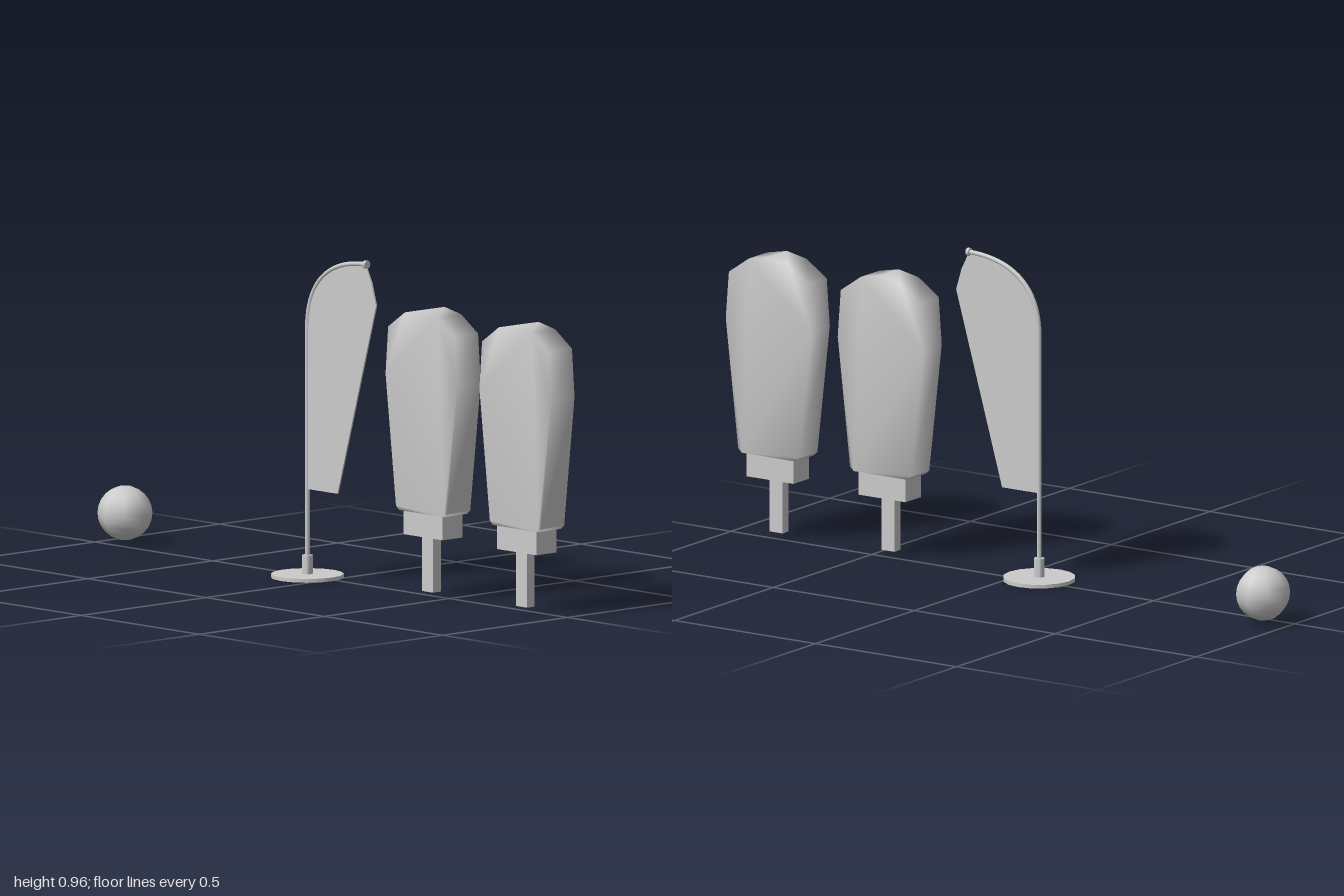
import * as THREE from 'three';
import { mergeVertices, toCreasedNormals } from 'three/addons/utils/BufferGeometryUtils.js';

const grey = new THREE.MeshStandardMaterial({ color: 0xcccccc });
const thin = new THREE.MeshStandardMaterial({ color: 0xcccccc, side: THREE.DoubleSide });

function part(name, geometry, x = 0, y = 0, z = 0, material = grey) {
  const mesh = new THREE.Mesh(geometry, material);
  mesh.name = name;
  mesh.position.set(x, y, z);
  return mesh;
}

// Slab with the given outline, centred on z = 0
function slab(points, depth) {
  const shape = new THREE.Shape(points.map(([x, y]) => new THREE.Vector2(x, y)));
  return new THREE.ExtrudeGeometry(shape, { depth, bevelEnabled: false }).translate(0, 0, -depth / 2);
}

// Shares vertices so that shading flows over the edges
function smooth(geometry) {
  geometry.deleteAttribute('normal');
  geometry.deleteAttribute('uv');
  const merged = mergeVertices(geometry, 1e-4);
  merged.computeVertexNormals();
  return merged;
}

function createPaddle(name, x) {
  const paddle = new THREE.Group();
  paddle.name = name;
  // Right half of the blade outline from bottom to tip, then mirrored
  const half = [[0.095, 0.25], [0.108, 0.262], [0.152, 0.645], [0.141, 0.785], [0.07, 0.834]];
  const mirrored = half.map(([px, py]) => [-px, py]).reverse();
  paddle.add(part('blade', smooth(slab([...half, [0, 0.848], ...mirrored], 0.093)), 0, 0, 0.0135));
  paddle.add(part('collar', new THREE.BoxGeometry(0.166, 0.075, 0.08), 0, 0.2175, 0.014));
  paddle.add(part('handle', new THREE.BoxGeometry(0.046, 0.165, 0.031), 0, 0.1, 0.02));
  paddle.position.x = x;
  return paddle;
}

function createFlag() {
  const flag = new THREE.Group();
  flag.name = 'featherFlag';

  // Weighted foot and socket
  flag.add(part('base', toCreasedNormals(new THREE.CylinderGeometry(0.106, 0.106, 0.011, 16), 0.7), 0, 0.0055));
  flag.add(part('socket', toCreasedNormals(new THREE.CylinderGeometry(0.016, 0.016, 0.056, 10), 0.8), 0, 0.038));

  // Pole that bends over at the top
  const bend = new THREE.CubicBezierCurve3(
    new THREE.Vector3(0, 0.73, 0), new THREE.Vector3(0, 0.88, 0),
    new THREE.Vector3(0.1, 0.945, 0), new THREE.Vector3(0.247, 0.947, 0));
  const path = new THREE.CurvePath();
  path.add(new THREE.LineCurve3(new THREE.Vector3(0, 0.03, 0), bend.v0));
  path.add(bend);
  flag.add(part('pole', new THREE.TubeGeometry(path, 64, 0.007, 8)));
  flag.add(part('poleTip', new THREE.CylinderGeometry(0.012, 0.012, 0.01, 10).rotateZ(Math.PI / 2), 0.249, 0.947));

  // Cloth follows the pole and tapers towards the bottom
  const edge = bend.getPoints(10).map(p => [p.x, p.y]).reverse();
  const outline = [[0.005, 0.26], [0.13, 0.26], [0.293, 0.83], [0.274, 0.893], ...edge, [0.005, 0.73]];
  flag.add(part('cloth', slab(outline, 0.005), 0, 0, 0, thin));

  flag.position.set(-0.081, 0, 0.018);
  return flag;
}

export function createModel() {
  const model = new THREE.Group();
  model.name = 'beachSet';
  model.add(part('ball', new THREE.SphereGeometry(0.08, 8, 12), -0.92, 0.09, -0.046));
  model.add(createFlag());
  model.add(createPaddle('innerPaddle', 0.446));
  model.add(createPaddle('outerPaddle', 0.843));
  return model;
}
